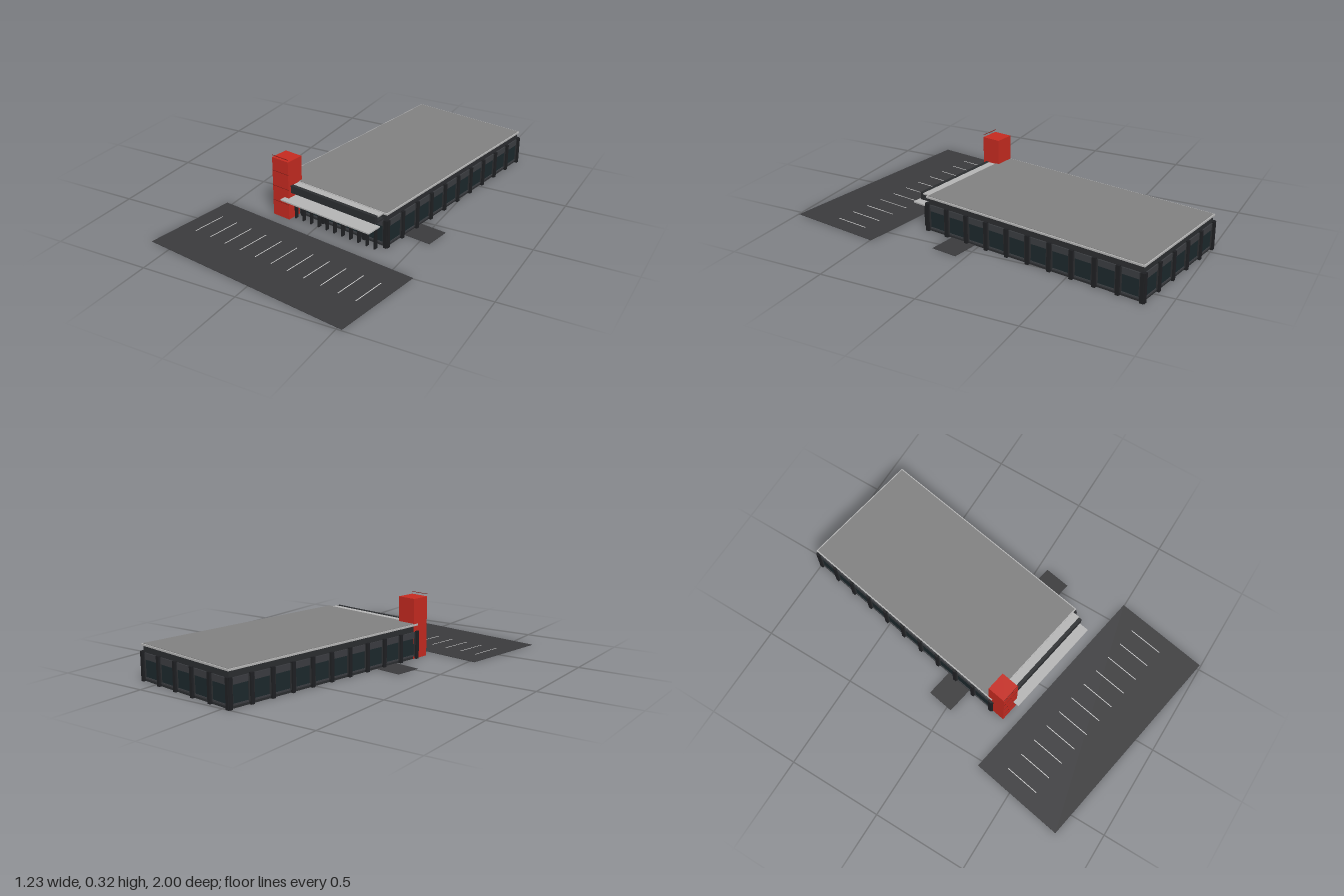
import * as THREE from 'three';

const mat = (color) => new THREE.MeshStandardMaterial({ color });
const M = {
  wall: mat(0x2b2d30), pier: mat(0x1f2023), header: mat(0x3a3c40), glass: mat(0x1c282c),
  roof: mat(0x808080), trim: mat(0xb4b4b4), asphalt: mat(0x3a3a3c), red: mat(0xc42a20),
  seam: mat(0x7a1a14), line: mat(0xcccccc),
};

// Box given by its extents on each axis
function box(parent, name, material, [x0, x1], [y0, y1], [z0, z1]) {
  const mesh = new THREE.Mesh(new THREE.BoxGeometry(x1 - x0, y1 - y0, z1 - z0), material);
  mesh.position.set((x0 + x1) / 2, (y0 + y1) / 2, (z0 + z1) / 2);
  mesh.name = name;
  parent.add(mesh);
  return mesh;
}

// Row of window bays with piers, lying along local x and facing local +z
function facade(name, length, bays) {
  const g = new THREE.Group();
  g.name = name;
  const pitch = length / bays;
  for (let i = 0; i <= bays; i++) {
    const x = -length / 2 + i * pitch;
    box(g, 'pier', M.pier, [x - 0.009, x + 0.009], [0, 0.145], [-0.005, 0.014]);
    if (i === bays) break;
    const c = x + pitch / 2, w = pitch * 0.36;
    box(g, 'windowGlass', M.glass, [c - w, c + w], [0.022, 0.108], [-0.004, 0.002]);
    box(g, 'windowHeader', M.header, [c - w, c + w], [0.108, 0.14], [-0.004, 0.006]);
    box(g, 'windowSill', M.header, [c - w, c + w], [0.014, 0.022], [-0.004, 0.006]);
    for (const s of [-1, 1]) {
      const e = c + s * (w + 0.003);
      box(g, 'windowFrame', M.wall, [e - 0.003, e + 0.003], [0.014, 0.14], [-0.004, 0.007]);
    }
  }
  return g;
}

export function createModel() {
  const model = new THREE.Group();
  model.name = 'building';
  const site = new THREE.Group();
  site.name = 'site';
  site.rotation.y = THREE.MathUtils.degToRad(-10);
  model.add(site);

  // Main hall
  const L = -0.205, R = 0.431, B = -0.971, F = 0.235;
  const cx = (L + R) / 2, cz = (B + F) / 2;
  box(site, 'walls', M.wall, [L, R], [0, 0.172], [B, F]);
  box(site, 'roofEdge', M.trim, [-0.212, 0.438], [0.172, 0.181], [-0.978, 0.242]);
  box(site, 'roofDeck', M.roof, [-0.206, 0.432], [0.176, 0.183], [-0.972, 0.236]);

  // Window bays on all four sides
  const sides = [
    ['frontFacade', R - L, 5, cx, F, 0], ['backFacade', R - L, 5, cx, B, Math.PI],
    ['leftFacade', F - B, 10, R, cz, Math.PI / 2], ['rightFacade', F - B, 10, L, cz, -Math.PI / 2],
  ];
  for (const [name, len, bays, x, z, turn] of sides) {
    const f = facade(name, len, bays);
    f.position.set(x, 0, z);
    f.rotation.y = turn;
    site.add(f);
  }

  // Entrance: upper eave, fascia, canopy and slim posts
  box(site, 'frontEave', M.trim, [-0.105, 0.415], [0.172, 0.179], [0.236, 0.283]);
  box(site, 'fascia', M.wall, [-0.125, 0.412], [0.142, 0.181], [0.282, 0.3]);
  box(site, 'fasciaSoffit', M.wall, [-0.105, 0.412], [0.142, 0.15], [0.235, 0.283]);
  box(site, 'canopy', M.trim, [-0.131, 0.412], [0.11, 0.117], [0.262, 0.349]);
  for (let i = 0; i < 11; i++) {
    const x = -0.09 + i * 0.049;
    box(site, 'canopyPost', M.pier, [x - 0.0035, x + 0.0035], [0, 0.11], [0.268, 0.288]);
  }

  // Tower with horizontal seams on its front
  box(site, 'tower', M.red, [-0.207, -0.105], [0, 0.312], [0.217, 0.317]);
  for (let i = 1; i <= 4; i++) {
    const y = i * 0.081;
    box(site, 'towerSeam', M.seam, [-0.207, -0.105], [y - 0.001, y + 0.001], [0.315, 0.318]);
  }

  // Parking area with bay lines, and a paved pad at each side door
  box(site, 'parking', M.asphalt, [-0.47, 0.688], [0, 0.002], [0.382, 0.888]);
  for (let i = 0; i < 11; i++) {
    const x = -0.381 + i * 0.0984;
    box(site, 'parkingLine', M.line, [x - 0.002, x + 0.002], [0.001, 0.003], [0.505, 0.688]);
  }
  box(site, 'rightPad', M.asphalt, [-0.35, L], [0, 0.002], [-0.055, 0.087]);
  box(site, 'leftPad', M.asphalt, [R, 0.575], [0, 0.002], [-0.053, 0.087]);

  return model;
}
